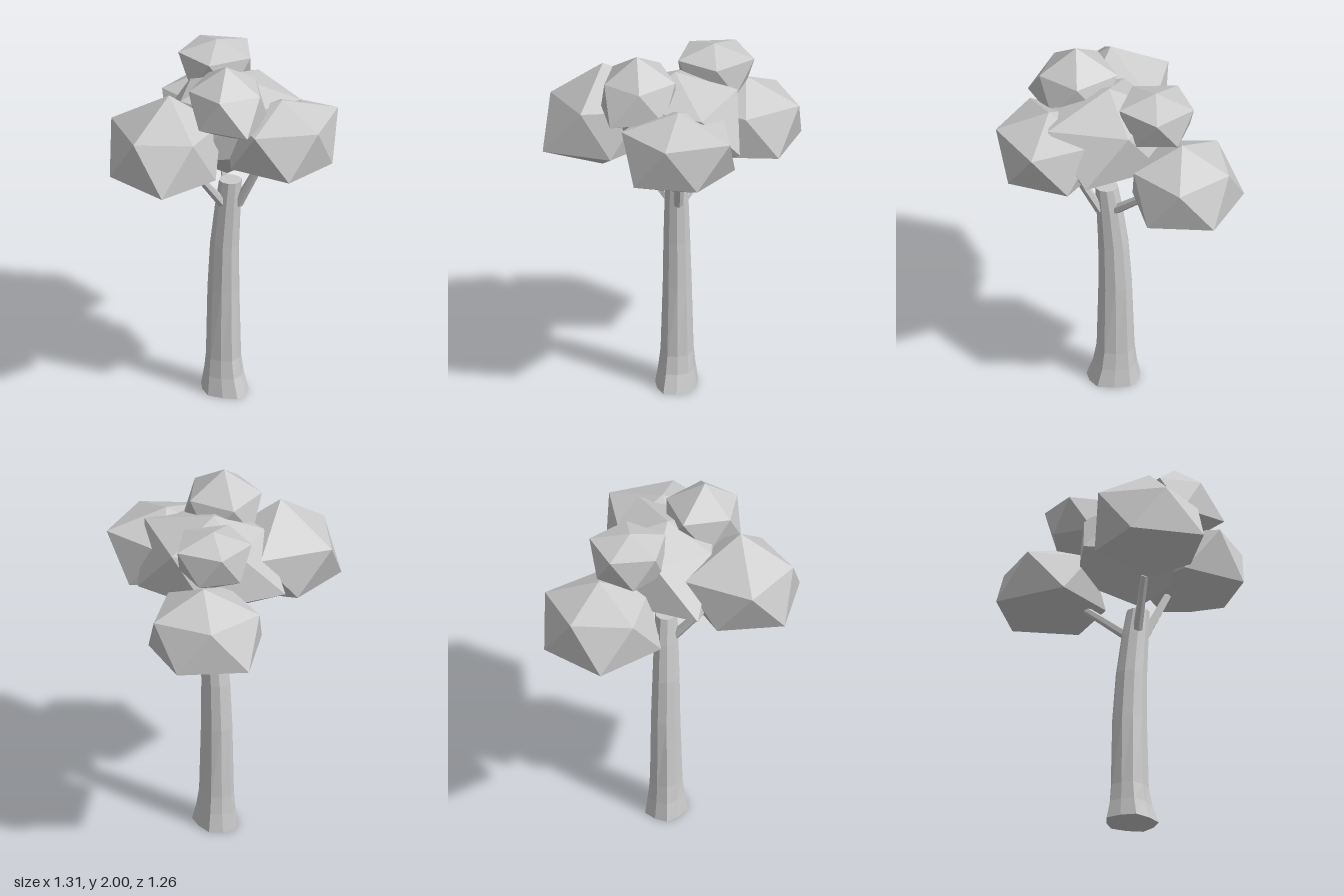
import * as THREE from 'three';
import { ConvexGeometry } from 'three/addons/geometries/ConvexGeometry.js';

const material = new THREE.MeshStandardMaterial({ color: 0xcccccc, flatShading: true });
const vec = (p) => new THREE.Vector3(...p);

function addMesh(group, name, geometry) {
  const mesh = new THREE.Mesh(geometry, material);
  mesh.name = name;
  group.add(mesh);
  return mesh;
}

// Irregular icosahedron: top and bottom points with two rings of five between them.
// heights = [bottom, lower ring, upper ring, top]; yaw turns the upper ring (degrees).
function foliageGeometry({ x, z, heights, yaw, upper, lower }) {
  const [bottom, low, high, top] = heights;
  const points = [vec([x, bottom, z]), vec([x, top, z])];
  const addRing = (radii, y, start) => radii.forEach((r, k) => {
    const a = THREE.MathUtils.degToRad(start + 72 * k);
    points.push(vec([x + r * Math.cos(a), y, z + r * Math.sin(a)]));
  });
  addRing(upper, high, yaw);
  addRing(lower, low, yaw + 36);
  return new ConvexGeometry(points);
}

// Trunk: a cylinder whose rows follow the bend, taper and root flare.
function trunkGeometry() {
  // [height, centre x, centre z, radius x, radius z, lobe depth]
  const rows = [
    [0, 0.025, -0.052, 0.142, 0.112, 0.05],
    [0.1, 0.017, -0.052, 0.115, 0.097, 0.05],
    [0.2, 0.014, -0.052, 0.102, 0.088, 0.03],
    [0.6, 0.016, -0.053, 0.093, 0.079, 0],
    [0.86, 0.026, -0.053, 0.084, 0.073, 0],
    [1.08, 0.046, -0.057, 0.073, 0.066, 0],
    [1.235, 0.064, -0.06, 0.062, 0.06, 0],
  ];
  const n = rows.length - 1;
  const geometry = new THREE.CylinderGeometry(1, 1, 1, 10, n);
  const pos = geometry.attributes.position;
  for (let i = 0; i < pos.count; i++) {
    const [y, cx, cz, rx, rz, lobe] = rows[Math.round((pos.getY(i) + 0.5) * n)];
    const px = pos.getX(i), pz = pos.getZ(i);
    const s = 1 + lobe * Math.cos(5 * Math.atan2(px, pz));
    pos.setXYZ(i, cx + px * rx * s, y, cz + pz * rz * s);
  }
  geometry.computeVertexNormals();
  return geometry;
}

// Straight tapering branch between two points.
function addBranch(group, name, from, to, r0, r1) {
  const a = vec(from), b = vec(to);
  const dir = b.clone().sub(a);
  const mesh = addMesh(group, name, new THREE.CylinderGeometry(r1, r0, dir.length(), 6));
  mesh.position.copy(a).add(b).multiplyScalar(0.5);
  mesh.quaternion.setFromUnitVectors(new THREE.Vector3(0, 1, 0), dir.normalize());
}

export function createModel() {
  const tree = new THREE.Group();
  tree.name = 'tree';

  addMesh(tree, 'trunk', trunkGeometry());

  // Branches reaching into the outer clumps
  addBranch(tree, 'frontBranch', [0.05, 1.1, -0.02], [0.045, 1.34, 0.175], 0.027, 0.02);
  addBranch(tree, 'leftBranch', [0.1, 1.1, -0.08], [0.26, 1.42, -0.13], 0.027, 0.02);
  addBranch(tree, 'backRightBranch', [0.02, 1.1, -0.09], [-0.21, 1.32, -0.24], 0.027, 0.02);

  // Foliage clumps
  const clumps = {
    frontFoliage: {
      x: 0.03, z: 0.35, heights: [1.25, 1.4, 1.65, 1.845], yaw: 13,
      upper: [0.255, 0.28, 0.335, 0.34, 0.28], lower: [0.355, 0.32, 0.29, 0.28, 0.27],
    },
    leftFoliage: {
      x: 0.37, z: -0.15, heights: [1.31, 1.43, 1.67, 1.775], yaw: 0,
      upper: [0.28, 0.3, 0.3, 0.3, 0.325], lower: [0.305, 0.3, 0.29, 0.3, 0.27],
    },
    backRightFoliage: {
      x: -0.33, z: -0.34, heights: [1.205, 1.31, 1.55, 1.68], yaw: 346,
      upper: [0.265, 0.28, 0.3, 0.265, 0.295], lower: [0.28, 0.345, 0.34, 0.305, 0.295],
    },
    topRightFoliage: {
      x: -0.195, z: -0.2, heights: [1.58, 1.68, 1.855, 1.92], yaw: 342,
      upper: [0.205, 0.205, 0.205, 0.21, 0.22], lower: [0.18, 0.18, 0.19, 0.19, 0.18],
    },
    topLeftFoliage: {
      x: 0.22, z: 0.115, heights: [1.59, 1.69, 1.87, 2], yaw: 342,
      upper: [0.205, 0.185, 0.2, 0.23, 0.21], lower: [0.265, 0.195, 0.2, 0.22, 0.225],
    },
    centerFoliage: {
      x: 0.05, z: -0.05, heights: [1.27, 1.47, 1.74, 1.85], yaw: 325,
      upper: [0.4, 0.32, 0.27, 0.28, 0.33], lower: [0.3, 0.33, 0.415, 0.34, 0.41],
    },
  };
  for (const [name, clump] of Object.entries(clumps)) {
    addMesh(tree, name, foliageGeometry(clump));
  }
  return tree;
}
